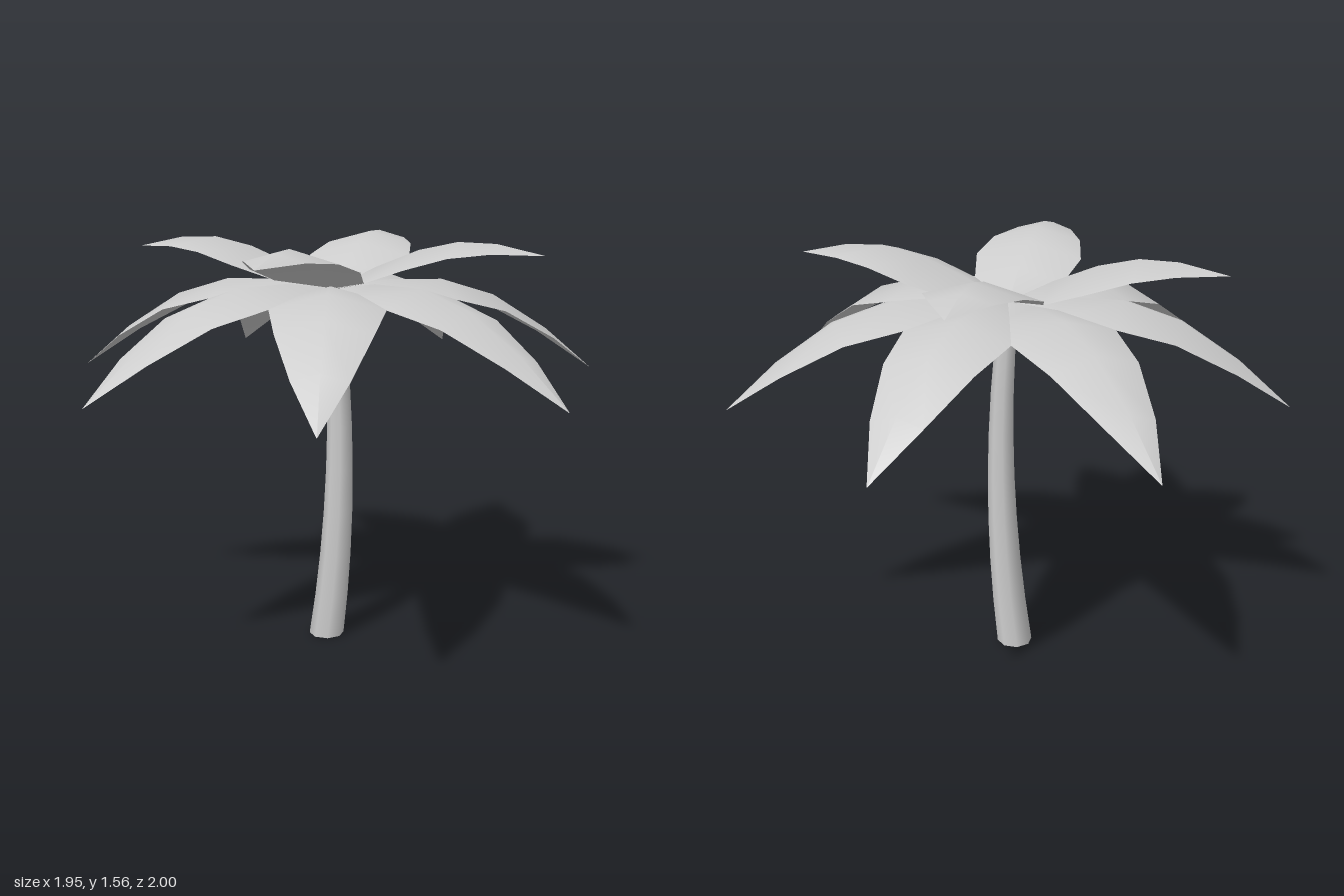
import * as THREE from 'three';

const CROWN_X = -0.05;

// Leaf surface from cross-sections [distance, spine height, half width];
// the sides fold down from the spine.
function leafGeometry(sections) {
  const positions = [], index = [];
  sections.forEach(([r, y, w], i) => {
    for (const s of [-1, 0, 1]) positions.push(r, y - Math.abs(s) * w * 0.27, s * w);
    if (i === 0) return;
    for (let j = 0; j < 2; j++) {
      const a = (i - 1) * 3 + j, c = i * 3 + j;
      index.push(a, a + 1, c, a + 1, c + 1, c);
    }
  });
  const geometry = new THREE.BufferGeometry();
  geometry.setAttribute('position', new THREE.Float32BufferAttribute(positions, 3));
  geometry.setIndex(index);
  geometry.computeVertexNormals();
  return geometry;
}

// Ring of equal leaves around the crown
function leafRing(name, geometry, material, count, startAngle) {
  const ring = new THREE.Group();
  ring.name = name + 's';
  ring.position.x = CROWN_X;
  for (let i = 0; i < count; i++) {
    const leaf = new THREE.Mesh(geometry, material);
    leaf.name = name;
    leaf.rotation.y = -(startAngle + (i / count) * Math.PI * 2);
    ring.add(leaf);
  }
  return ring;
}

export function createModel() {
  const model = new THREE.Group();
  model.name = 'palmTree';
  const grey = new THREE.MeshStandardMaterial({ color: 0xcccccc, side: THREE.DoubleSide });
  grey.name = 'light grey';

  // Tapered trunk, bowed sideways
  const height = 1.38;
  const trunkGeometry = new THREE.CylinderGeometry(0.035, 0.068, height, 8, 8);
  trunkGeometry.translate(0, height / 2, 0);
  const p = trunkGeometry.attributes.position;
  for (let i = 0; i < p.count; i++) {
    p.setX(i, p.getX(i) - 0.02 - 0.11 * (p.getY(i) - 0.8) ** 2);
  }
  const trunk = new THREE.Mesh(trunkGeometry, grey);
  trunk.name = 'trunk';
  model.add(trunk);

  // Long drooping leaves
  const lower = leafGeometry([
    [0, 1.38, 0.008], [0.2, 1.41, 0.165], [0.415, 1.408, 0.202],
    [0.62, 1.345, 0.165], [0.835, 1.21, 0.095], [1.025, 1.05, 0.001],
  ]);
  model.add(leafRing('lowerLeaf', lower, grey, 7, 0));

  // Shorter raised leaves
  const upper = leafGeometry([
    [0, 1.38, 0.008], [0.165, 1.465, 0.168], [0.325, 1.53, 0.204],
    [0.47, 1.562, 0.172], [0.61, 1.558, 0.108], [0.785, 1.52, 0.001],
  ]);
  model.add(leafRing('upperLeaf', upper, grey, 4, THREE.MathUtils.degToRad(-23.2)));

  return model;
}
